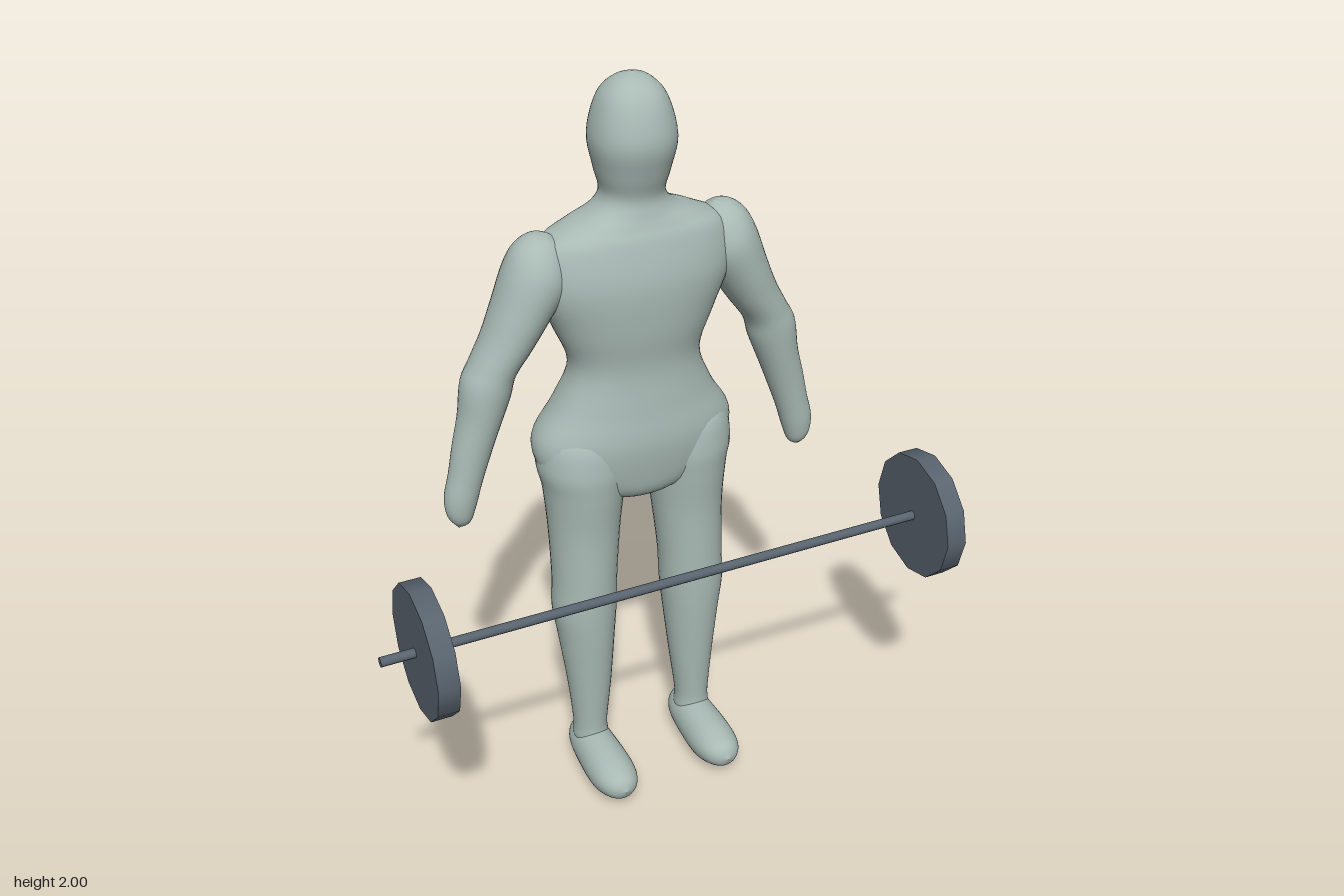
import * as THREE from 'three';

const skin = new THREE.MeshStandardMaterial({ color: 0xa9bab5 });
skin.name = 'pale grey green';
const iron = new THREE.MeshStandardMaterial({ color: 0x59646f });
iron.name = 'slate iron';

// Smooth skin through rings [x, y, z, radiusU, radiusV], running along u x v
function loft(rows, u, v, power = 2, sides = 36, steps = 5) {
  const centres = new THREE.CatmullRomCurve3(
    rows.map((r) => new THREE.Vector3(r[0], r[1], r[2])), false, 'catmullrom', 0.5);
  const radii = new THREE.CatmullRomCurve3(
    rows.map((r) => new THREE.Vector3(r[3], r[4], 0)), false, 'catmullrom', 0.5);
  const count = (rows.length - 1) * steps;
  const round = (n) => Math.sign(n) * Math.abs(n) ** (2 / power);
  const positions = [];
  const index = [];
  for (let i = 0; i <= count; i++) {
    const c = centres.getPoint(i / count);
    const r = radii.getPoint(i / count);
    for (let j = 0; j < sides; j++) {
      const a = (j / sides) * Math.PI * 2;
      const p = c.clone()
        .addScaledVector(u, round(Math.cos(a)) * Math.max(r.x, 0.0005))
        .addScaledVector(v, round(Math.sin(a)) * Math.max(r.y, 0.0005));
      positions.push(p.x, p.y, p.z);
      if (i < count) {
        const k = (j + 1) % sides;
        const a0 = i * sides + j, b0 = i * sides + k;
        index.push(a0, b0, a0 + sides, b0, b0 + sides, a0 + sides);
      }
    }
  }
  const geometry = new THREE.BufferGeometry();
  geometry.setAttribute('position', new THREE.Float32BufferAttribute(positions, 3));
  geometry.setIndex(index);
  geometry.computeVertexNormals();
  return geometry;
}

function add(parent, name, geometry, material) {
  const mesh = new THREE.Mesh(geometry, material);
  mesh.name = name;
  parent.add(mesh);
  return mesh;
}

// Head, neck, torso and hips, from crown to crotch
const bodyRows = [
  [0, 2.0, -0.157, 0, 0],
  [0, 1.985, -0.158, 0.045, 0.046],
  [0, 1.94, -0.16, 0.083, 0.088],
  [0, 1.85, -0.16, 0.105, 0.111],
  [0, 1.77, -0.163, 0.092, 0.095],
  [0, 1.71, -0.165, 0.08, 0.078],
  [0, 1.67, -0.167, 0.11, 0.086],
  [0, 1.64, -0.168, 0.18, 0.097],
  [0, 1.6, -0.167, 0.245, 0.112],
  [0, 1.5, -0.168, 0.262, 0.133],
  [0, 1.38, -0.165, 0.213, 0.125],
  [0, 1.27, -0.162, 0.175, 0.107],
  [0, 1.16, -0.175, 0.215, 0.127],
  [0, 1.06, -0.182, 0.272, 0.143],
  [0, 0.97, -0.172, 0.25, 0.123],
  [0, 0.91, -0.165, 0.16, 0.1],
  [0, 0.88, -0.16, 0.07, 0.06],
  [0, 0.87, -0.16, 0, 0],
];

// Shoulder to fingertips
const armRows = [
  [0.222, 1.636, -0.168, 0, 0],
  [0.226, 1.622, -0.168, 0.04, 0.04],
  [0.238, 1.585, -0.168, 0.07, 0.072],
  [0.255, 1.53, -0.168, 0.083, 0.09],
  [0.295, 1.45, -0.169, 0.073, 0.087],
  [0.335, 1.375, -0.169, 0.064, 0.078],
  [0.375, 1.31, -0.169, 0.059, 0.07],
  [0.397, 1.255, -0.169, 0.065, 0.068],
  [0.42, 1.17, -0.168, 0.055, 0.059],
  [0.445, 1.09, -0.166, 0.05, 0.05],
  [0.465, 1.02, -0.164, 0.045, 0.044],
  [0.483, 0.955, -0.163, 0.043, 0.04],
  [0.49, 0.905, -0.163, 0.031, 0.029],
  [0.492, 0.876, -0.163, 0, 0],
];

// Hip to ankle
const legRows = [
  [0.14, 1.14, -0.165, 0, 0],
  [0.142, 1.09, -0.167, 0.1, 0.095],
  [0.146, 1.0, -0.168, 0.122, 0.12],
  [0.147, 0.92, -0.163, 0.108, 0.113],
  [0.15, 0.8, -0.16, 0.096, 0.1],
  [0.156, 0.65, -0.152, 0.088, 0.092],
  [0.16, 0.55, -0.15, 0.088, 0.09],
  [0.158, 0.45, -0.147, 0.077, 0.083],
  [0.156, 0.3, -0.139, 0.061, 0.065],
  [0.158, 0.16, -0.135, 0.047, 0.051],
  [0.158, 0.1, -0.135, 0.046, 0.05],
  [0.158, 0.07, -0.135, 0, 0],
];

// Heel to toe
const footRows = [
  [0.157, 0.07, -0.222, 0, 0],
  [0.157, 0.07, -0.21, 0.03, 0.035],
  [0.157, 0.075, -0.17, 0.052, 0.06],
  [0.157, 0.07, -0.1, 0.06, 0.067],
  [0.157, 0.068, 0, 0.064, 0.063],
  [0.157, 0.072, 0.06, 0.055, 0.049],
  [0.157, 0.074, 0.095, 0.034, 0.032],
  [0.157, 0.074, 0.111, 0, 0],
];

export function createModel() {
  const model = new THREE.Group();
  model.name = 'figureWithBarbell';
  const X = new THREE.Vector3(1, 0, 0);
  const Y = new THREE.Vector3(0, 1, 0);
  const Z = new THREE.Vector3(0, 0, 1);

  const figure = new THREE.Group();
  figure.name = 'figure';
  model.add(figure);
  add(figure, 'headAndTorso', loft(bodyRows, X, Z, 2.2, 48), skin);

  for (const [side, s] of [['left', 1], ['right', -1]]) {
    const mirror = (rows) => rows.map(([x, ...rest]) => [x * s, ...rest]);
    const across = new THREE.Vector3(0.93, 0.36 * s, 0).normalize();
    add(figure, side + 'Arm', loft(mirror(armRows), across, Z), skin);
    add(figure, side + 'Leg', loft(mirror(legRows), X, Z), skin);
    add(figure, side + 'Foot', loft(mirror(footRows), X, Y), skin);
  }

  // Barbell in front of the knees
  const barbell = new THREE.Group();
  barbell.name = 'barbell';
  barbell.position.set(0, 0.777, 0.157);
  model.add(barbell);
  const rod = (r, length, sides) =>
    new THREE.CylinderGeometry(r, r, length, sides).rotateZ(Math.PI / 2);
  add(barbell, 'bar', rod(0.0125, 1.62, 12), iron);
  for (const [side, s] of [['left', 1], ['right', -1]]) {
    add(barbell, side + 'Plate', rod(0.172, 0.055, 12), iron).position.x = 0.696 * s;
  }
  return model;
}
